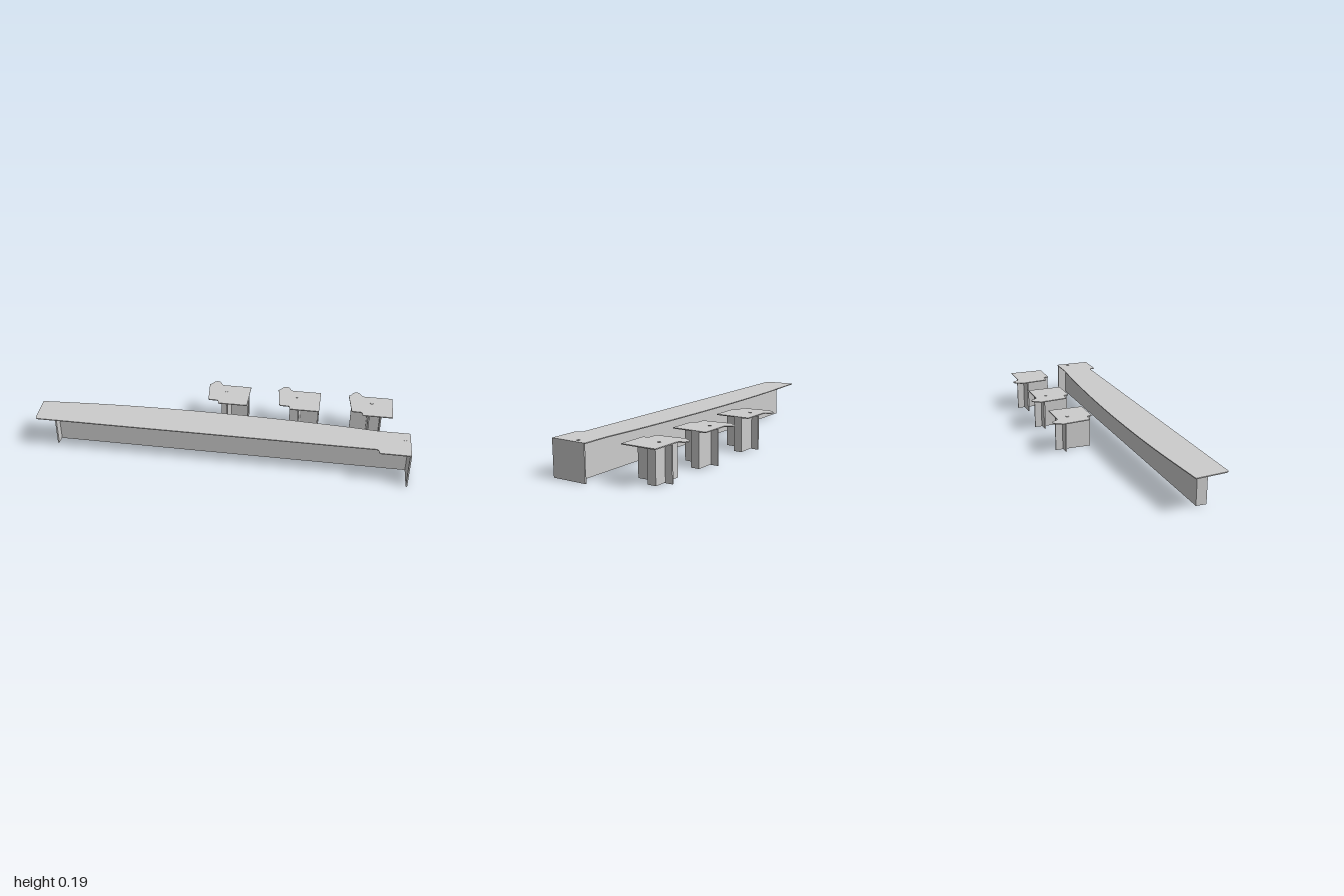
import * as THREE from 'three';

const grey = new THREE.MeshStandardMaterial({ color: 0xcccccc });
const TOP = 0.193, UNDER = 0.188, T = 0.008;

// Panel given by its min and max corners
function panel(name, x0, x1, y0, y1, z0, z1) {
  const m = new THREE.Mesh(new THREE.BoxGeometry(x1 - x0, y1 - y0, z1 - z0), grey);
  m.position.set((x0 + x1) / 2, (y0 + y1) / 2, (z0 + z1) / 2);
  m.name = name;
  return m;
}

// Thin worktop extruded upward from a plan outline drawn in (x, -z)
function slab(name, shape) {
  const g = new THREE.ExtrudeGeometry(shape, { depth: TOP - UNDER, bevelEnabled: false, curveSegments: 10 });
  g.rotateX(-Math.PI / 2);
  g.translate(0, UNDER, 0);
  const m = new THREE.Mesh(g, grey);
  m.name = name;
  return m;
}

// Cable grommet set into a worktop
function grommet(x, z) {
  const m = new THREE.Mesh(new THREE.CylinderGeometry(0.009, 0.009, 0.004, 20), grey);
  m.position.set(x, TOP, z);
  m.name = 'grommet';
  return m;
}

function longCounter() {
  const g = new THREE.Group();
  g.name = 'longCounter';

  // Worktop with bowed back edge and a wider right-angled end
  const s = new THREE.Shape();
  s.moveTo(1, -0.288);
  s.lineTo(1, -0.086);
  s.lineTo(0.84, -0.086);
  s.splineThru([[0.6, -0.068], [0.2, -0.051], [-0.2, -0.046], [-0.6, -0.055], [-1, -0.08]]
    .map(p => new THREE.Vector2(...p)));
  s.lineTo(-0.985, -0.24);
  s.quadraticCurveTo(-0.983, -0.256, -0.97, -0.256);
  s.lineTo(0.82, -0.256);
  s.quadraticCurveTo(0.838, -0.256, 0.838, -0.272);
  s.lineTo(0.842, -0.288);
  g.add(slab('counterTop', s));

  // Supports
  g.add(panel('endPanel', 0.992, 1, 0, UNDER, 0.09, 0.288));
  g.add(panel('modestyPanel', -0.9, 0.992, 0.003, UNDER, 0.14, 0.148));
  g.add(panel('returnLeg', -0.9, -0.892, 0.003, UNDER, 0.148, 0.195));
  g.add(grommet(0.97, 0.15));
  return g;
}

// Small desk: cx = worktop centre, px = cross panel, x0..x1 = spine panel
function smallDesk({ cx, px, x0, x1, dot }) {
  const g = new THREE.Group();
  g.name = 'smallDesk';

  // Worktop with a rounded ear at the back and a notch at the front
  const s = new THREE.Shape();
  s.moveTo(0.12, 0.055);
  s.lineTo(0.12, 0.25);
  s.lineTo(-0.035, 0.25);
  s.quadraticCurveTo(-0.047, 0.25, -0.053, 0.266);
  s.bezierCurveTo(-0.062, 0.295, -0.09, 0.298, -0.104, 0.268);
  s.quadraticCurveTo(-0.11, 0.252, -0.12, 0.247);
  s.lineTo(-0.102, 0.098);
  s.quadraticCurveTo(-0.1, 0.085, -0.09, 0.085);
  s.lineTo(-0.057, 0.085);
  s.quadraticCurveTo(-0.043, 0.085, -0.043, 0.07);
  s.lineTo(-0.04, 0.055);
  const top = slab('deskTop', s);
  top.position.x = cx;
  g.add(top);

  // Crossing support panels with a short return at the spine's end
  g.add(panel('crossPanel', px - T / 2, px + T / 2, 0, UNDER, -0.248, -0.05));
  g.add(panel('spinePanel', x0, x1, 0.003, UNDER, -0.208, -0.2));
  g.add(panel('returnLeg', x1 - T, x1, 0.003, UNDER, -0.2, -0.16));
  g.add(grommet(dot, -0.185));
  return g;
}

export function createModel() {
  const model = new THREE.Group();
  model.name = 'counterSet';
  model.add(longCounter());
  [
    { cx: 0, px: 0.008, x0: -0.045, x1: 0.116, dot: -0.012 },
    { cx: 0.397, px: 0.404, x0: 0.347, x1: 0.514, dot: 0.385 },
    { cx: 0.793, px: 0.785, x0: 0.69, x1: 0.86, dot: 0.8 },
  ].forEach(d => model.add(smallDesk(d)));
  return model;
}
